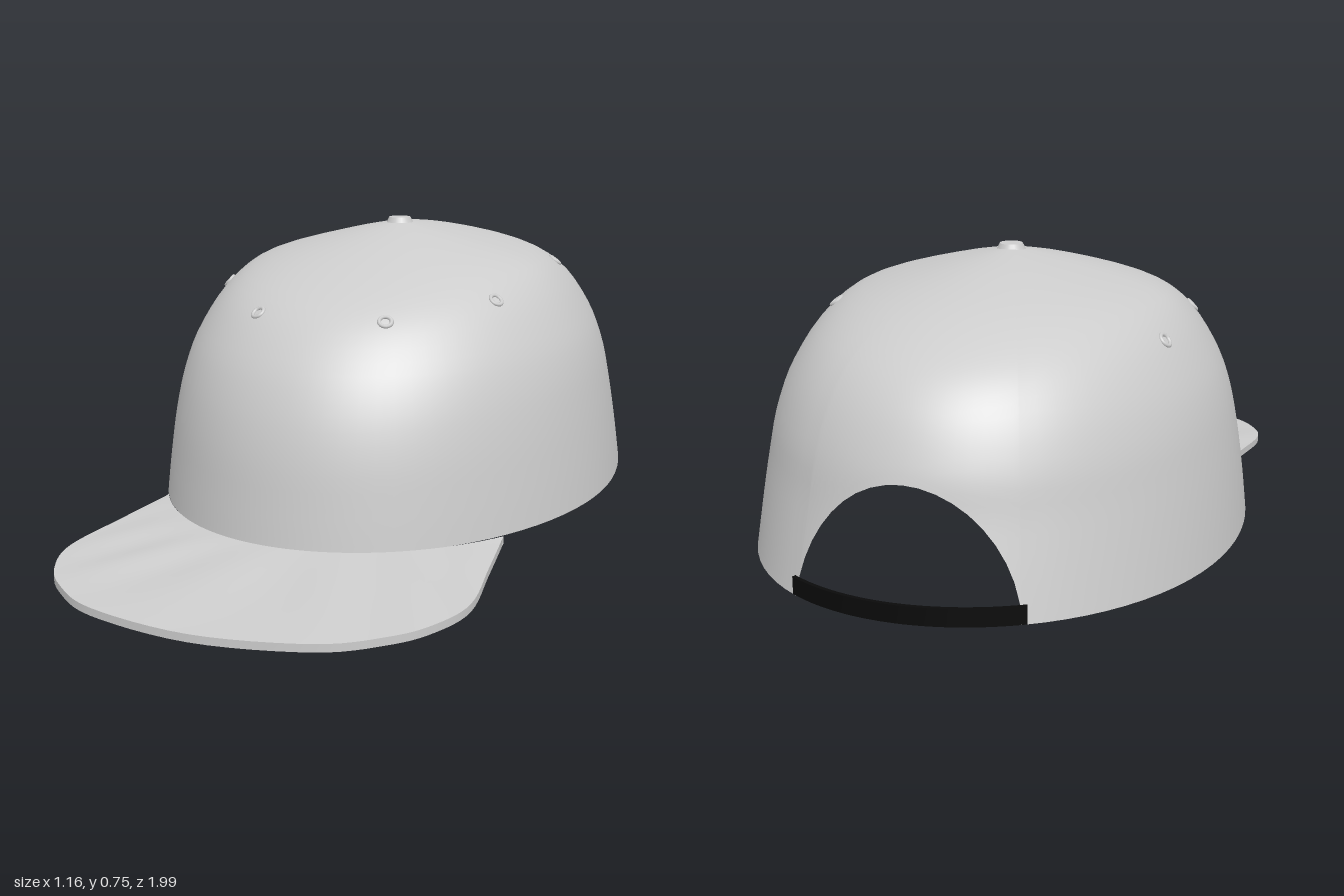
import * as THREE from 'three';
import { toCreasedNormals } from 'three/addons/utils/BufferGeometryUtils.js';

const CZ = -0.18, RX = 0.58, R_FRONT = 0.75, R_BACK = 0.81, GAP = 0.25;

// Crown profiles as [fraction of base radius, height], base to apex
const spline = (pts) => new THREE.SplineCurve(pts.map(([x, y]) => new THREE.Vector2(x, y)));
const front = spline([[1, .065], [.985, .15], [.96, .27], [.915, .38], [.84, .48], [.71, .575], [.5, .645], [.25, .705], [0, .745]]);
const side = spline([[1, .075], [.98, .18], [.95, .3], [.91, .41], [.85, .5], [.74, .6], [.6, .66], [.28, .712], [0, .745]]);
const back = spline([[1, .12], [.965, .22], [.93, .32], [.9, .42], [.83, .53], [.72, .61], [.53, .675], [.27, .72], [0, .745]]);

// Blended profile at an angle (0 = front, +PI/2 = left side)
function profile(theta, t) {
  const c = Math.cos(theta);
  return side.getPoint(t).lerp((c > 0 ? front : back).getPoint(t), Math.abs(c) ** 1.5);
}

function crownPoint(theta, t) {
  const p = profile(theta, t), c = Math.cos(theta);
  return new THREE.Vector3(RX * Math.sin(theta) * p.x, p.y, CZ + (c > 0 ? R_FRONT : R_BACK) * c * p.x);
}

// Solves a rising function for a value on 0..1
function solve(f, value) {
  let lo = 0, hi = 1;
  for (let i = 0; i < 30; i++) {
    const mid = (lo + hi) / 2;
    if (f(mid) < value) lo = mid; else hi = mid;
  }
  return lo;
}

// Skins a grid of points: columns of equal length, optionally closed either way
function skin(cols, closeCols, closeRows) {
  const n = cols.length, m = cols[0].length, index = [];
  for (let j = 0; j < (closeCols ? n : n - 1); j++) {
    for (let i = 0; i < (closeRows ? m : m - 1); i++) {
      const a = j * m + i, b = ((j + 1) % n) * m + i;
      const c = ((j + 1) % n) * m + (i + 1) % m, d = j * m + (i + 1) % m;
      index.push(a, b, c, a, c, d);
    }
  }
  const geo = new THREE.BufferGeometry().setFromPoints(cols.flat());
  geo.setIndex(index);
  geo.computeVertexNormals();
  return geo;
}

function crownGeometry() {
  const columns = [], half = Math.PI - Math.asin(GAP / RX), steps = 72, arch = 20, rows = 28;
  for (let j = 0; j <= steps; j++) columns.push([half * (2 * j / steps - 1), 0]);
  // Columns above the arched opening start higher
  for (let k = 1; k < arch; k++) {
    const phi = Math.PI * (k / arch - 0.5);
    const theta = Math.PI + Math.asin(GAP * Math.sin(phi) / RX);
    const y = profile(theta, 0).y + 0.27 * Math.cos(phi);
    columns.push([theta, solve((t) => profile(theta, t).y, y)]);
  }
  return skin(columns.map(([theta, t0]) => Array.from({ length: rows + 1 },
    (_, i) => crownPoint(theta, t0 + (1 - t0) * i / rows))), true, false);
}

function visorGeometry() {
  const outline = spline([[-.45, .3], [-.475, .48], [-.498, .67], [-.46, .79], [-.39, .875], [-.26, .955], [0, .998],
    [.26, .955], [.39, .875], [.46, .79], [.498, .67], [.475, .48], [.45, .3]]);
  const cols = [], steps = 72, across = 8, reach = Math.asin(0.45 / RX);
  for (let j = 0; j <= steps; j++) {
    const u = j / steps, o = outline.getPoint(u), theta = reach * (2 * u - 1);
    const outer = new THREE.Vector3(o.x, 0.02 + 0.046 * (1 - o.y) / 0.7, o.y);
    const inner = new THREE.Vector3(RX * Math.sin(theta), 0.068, CZ + R_FRONT * Math.cos(theta));
    const top = [];
    for (let i = 0; i <= across; i++) {
      const v = i / across, p = outer.clone().lerp(inner, v);
      // Soft folds running back from the rim
      p.y += 0.004 * Math.sin(u * 44) * Math.sin(Math.PI * v) * Math.sin(Math.PI * u);
      top.push(p);
    }
    const bottom = top.map((p) => new THREE.Vector3(p.x, p.y - 0.018, p.z)).reverse();
    cols.push([...top, ...bottom]);
  }
  return toCreasedNormals(skin(cols, false, true), 0.7);
}

function strapGeometry() {
  const cols = [], steps = 24, reach = Math.asin((GAP + 0.01) / RX);
  for (let j = 0; j <= steps; j++) {
    const theta = Math.PI + reach * (2 * j / steps - 1), y = profile(theta, 0).y;
    const at = (r, h) => new THREE.Vector3(RX * Math.sin(theta) * r, y + h, CZ + R_BACK * Math.cos(theta) * r);
    cols.push([at(1, 0), at(1, 0.04), at(0.988, 0.04), at(0.988, 0)]);
  }
  return toCreasedNormals(skin(cols, false, true), 0.7);
}

export function createModel() {
  const fabric = new THREE.MeshStandardMaterial({ color: 0xcccccc });
  fabric.name = 'light grey fabric';
  const fabricShell = fabric;
  fabricShell.side = THREE.DoubleSide;
  const black = new THREE.MeshStandardMaterial({ color: 0x0a0a0a, side: THREE.DoubleSide });
  black.name = 'black strap';

  const cap = new THREE.Group();
  cap.name = 'cap';
  const add = (name, geo, mat) => {
    const mesh = new THREE.Mesh(geo, mat);
    mesh.name = name;
    cap.add(mesh);
    return mesh;
  };

  add('crown', crownGeometry(), fabricShell);
  add('visor', visorGeometry(), fabric);
  add('backStrap', strapGeometry(), black);
  add('topButton', new THREE.CylinderGeometry(0.028, 0.035, 0.014, 24), fabric).position.set(0, 0.745, CZ);

  // Eyelets lie flat on the crown, found from their plan positions
  const eyelets = [[-.165, .33], [.165, .33], [-.41, .01], [.36, .1], [-.42, -.365], [.37, -.385]];
  for (const [x, z] of eyelets) {
    const dz = z - CZ, theta = Math.atan2(x / RX, dz / (dz > 0 ? R_FRONT : R_BACK));
    const t = solve((s) => -Math.abs(crownPoint(theta, s).x), -Math.abs(x));
    const p = crownPoint(theta, t);
    const across = crownPoint(theta + 0.01, t).sub(p), up = crownPoint(theta, t + 0.01).sub(p);
    const ring = add('eyelet', new THREE.TorusGeometry(0.015, 0.005, 8, 20), fabric);
    ring.position.copy(p);
    ring.quaternion.setFromUnitVectors(new THREE.Vector3(0, 0, 1), across.cross(up).normalize());
  }
  return cap;
}
